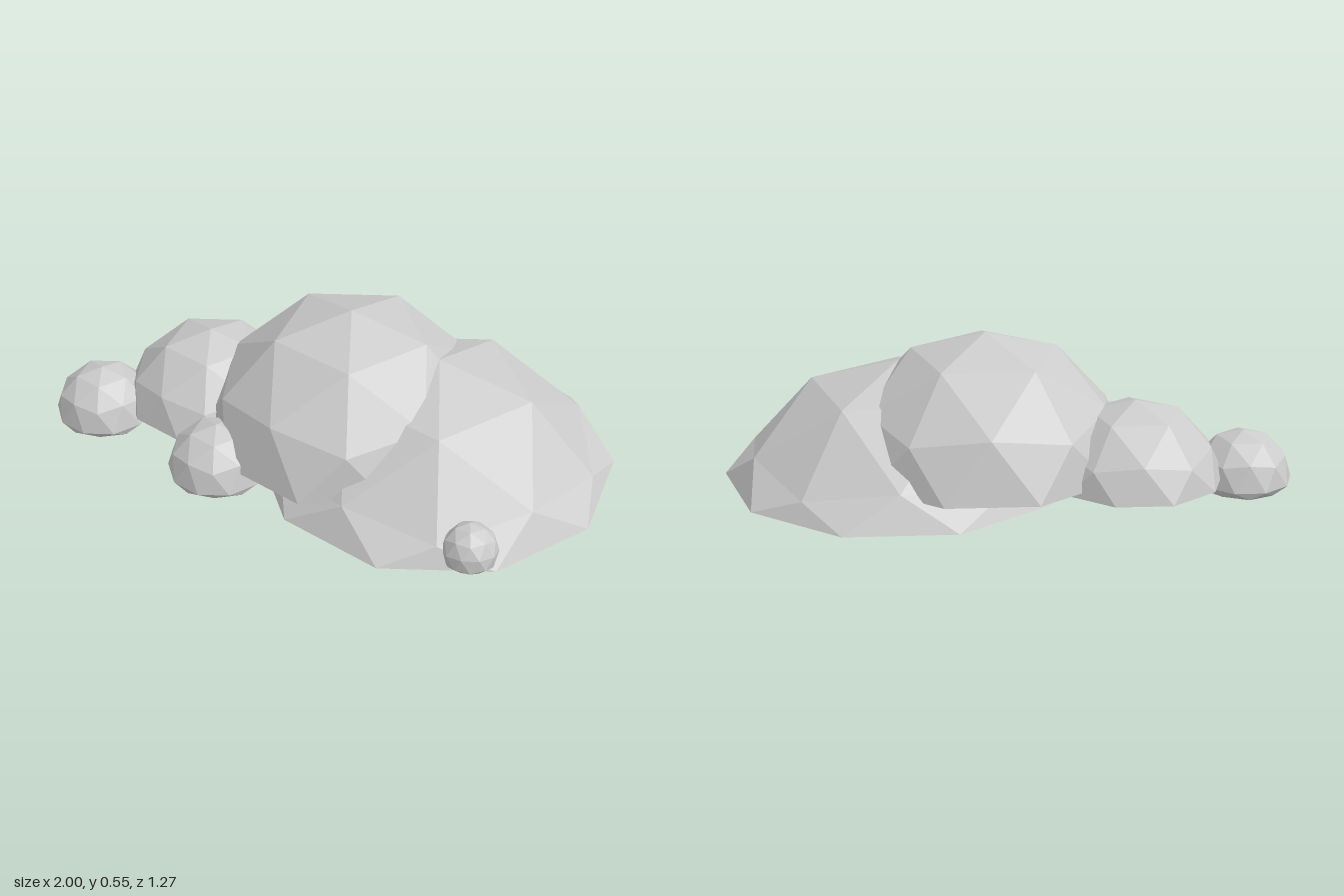
import * as THREE from 'three';

const material = new THREE.MeshStandardMaterial({ color: 0xcccccc, flatShading: true });

// Low-poly boulder: icosphere with a vertex on top, everything under `floor` pressed flat
function boulder(name, x, y, z, radius, floor, tiltX = 0, tiltZ = 0) {
  const geo = new THREE.IcosahedronGeometry(radius, 1);
  geo.rotateZ(-Math.atan(2 / (1 + Math.sqrt(5)))); // bring a corner to the pole
  geo.rotateX(tiltX).rotateZ(tiltZ);
  geo.translate(x, y, z);
  const pos = geo.attributes.position;
  for (let i = 0; i < pos.count; i++) pos.setY(i, Math.max(pos.getY(i), floor));
  geo.computeVertexNormals();
  const mesh = new THREE.Mesh(geo, material);
  mesh.name = name;
  return mesh;
}

export function createModel() {
  const group = new THREE.Group();
  group.name = 'rockPile';
  group.add(
    // three overlapping main rocks, from right to left
    boulder('wideBoulder', 0.392, -0.215, 0, 0.637, 0),
    boulder('tallBoulder', 0.07, 0.028, 0, 0.522, 0.09),
    boulder('mediumBoulder', -0.47, 0.025, 0, 0.32, 0.07),
    // small stones around them
    boulder('outerStone', -0.83, 0.028, 0.178, 0.178, 0),
    boulder('frontStone', -0.3, 0.028, 0.35, 0.178, 0),
    boulder('pebble', 0.668, 0.05, 0.493, 0.097, 0, -0.25, 0.1),
  );
  return group;
}
